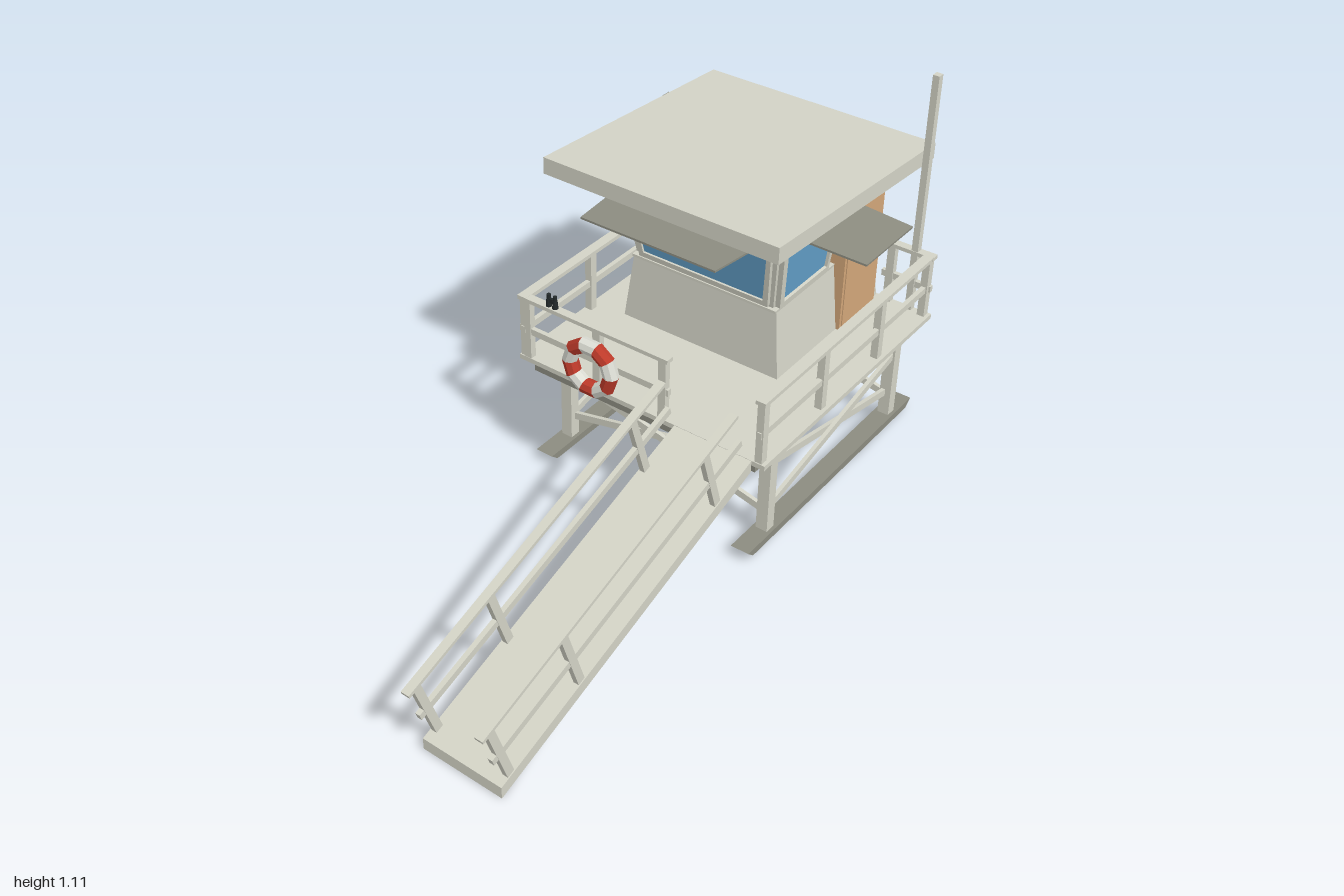
import * as THREE from 'three';

const mat = (name, color) => {
  const m = new THREE.MeshStandardMaterial({ color });
  m.name = name;
  return m;
};

export function createModel() {
  const model = new THREE.Group();
  model.name = 'beachTower';
  const paint = mat('palePaint', 0xd3d3c6);
  const dark = mat('darkTimber', 0x8c8c80);
  const glass = mat('blueGlass', 0x65a2cc);
  const wood = mat('tanDoor', 0xd2a679);
  const red = mat('ringRed', 0xbe3a2a);
  const white = mat('ringWhite', 0xdedfd6);
  const black = mat('black', 0x23292a);

  const add = (name, geo, material, parent = model) => {
    const mesh = new THREE.Mesh(geo, material);
    mesh.name = name;
    parent.add(mesh);
    return mesh;
  };
  const group = (name) => {
    const g = new THREE.Group();
    g.name = name;
    model.add(g);
    return g;
  };
  // Box given by its minimum and maximum corners
  const box = (name, x0, x1, y0, y1, z0, z1, m, parent) => {
    const mesh = add(name, new THREE.BoxGeometry(x1 - x0, y1 - y0, z1 - z0), m, parent);
    mesh.position.set((x0 + x1) / 2, (y0 + y1) / 2, (z0 + z1) / 2);
    return mesh;
  };
  // Straight timber between two points, w wide and h deep
  const beam = (name, p, q, w, h, parent, m = paint) => {
    const a = new THREE.Vector3(...p), b = new THREE.Vector3(...q);
    const mesh = add(name, new THREE.BoxGeometry(w, h, a.distanceTo(b)), m, parent);
    mesh.position.copy(a).add(b).multiplyScalar(0.5);
    mesh.lookAt(b);
    return mesh;
  };
  // Solid between an inner quad a and an outer quad b, both counter-clockwise from outside
  const hexa = (a, b) => {
    const quads = [b, [a[3], a[2], a[1], a[0]]];
    for (let i = 0; i < 4; i++) {
      const j = (i + 1) % 4;
      quads.push([a[i], a[j], b[j], b[i]]);
    }
    const pos = quads.flatMap(([p, q, r, s]) => [p, q, r, p, r, s].flat());
    const geo = new THREE.BufferGeometry();
    geo.setAttribute('position', new THREE.Float32BufferAttribute(pos, 3));
    geo.computeVertexNormals();
    return geo;
  };
  // Quad thickened along its normal
  const plate = (quad, t0, t1) => {
    const [p, q, r] = quad.map((c) => new THREE.Vector3(...c));
    const n = q.clone().sub(p).cross(r.clone().sub(p)).normalize();
    const shift = (t) => quad.map((c) => new THREE.Vector3(...c).addScaledVector(n, t).toArray());
    return hexa(shift(t0), shift(t1));
  };
  const mirror = (quad) => quad.map(([x, y, z]) => [-x, y, z]).reverse();
  // Horizontal rectangle with separate heights at front and back
  const rect = (x, zf, zb, yf, yb = yf) => [[-x, yf, zf], [x, yf, zf], [x, yb, zb], [-x, yb, zb]];

  // Skids, legs and cross braces
  const base = group('base');
  const legX = [-0.298, 0.384], legZ = [-0.187, -0.845];
  for (const x of legX) {
    const skid = (zf, zb, y) => rect(0.0285, zf, zb, y).map((p) => [p[0] + x, p[1], p[2]]);
    add('skid', hexa(skid(-0.09, -0.92, 0.013), skid(-0.065, -0.945, 0.035)), dark, base);
    for (const z of legZ) box('leg', x - 0.018, x + 0.018, 0.035, 0.34, z - 0.017, z + 0.017, paint, base);
    beam('sideBrace', [x - 0.006, 0.25, legZ[0]], [x - 0.006, 0.108, legZ[1]], 0.012, 0.022, base);
    beam('sideBrace', [x + 0.006, 0.108, legZ[0]], [x + 0.006, 0.25, legZ[1]], 0.012, 0.022, base);
  }
  for (const z of legZ) {
    beam('crossBrace', [legX[0], 0.255, z + 0.006], [legX[1], 0.1, z + 0.006], 0.012, 0.022, base);
    beam('crossBrace', [legX[0], 0.1, z - 0.006], [legX[1], 0.255, z - 0.006], 0.012, 0.022, base);
  }

  // Deck on a dark perimeter frame
  const deck = group('deck');
  box('deckBoard', -0.377, 0.444, 0.34, 0.355, -0.945, -0.065, paint, deck);
  for (const [x0, x1] of [[-0.327, -0.25], [0.336, 0.413]]) box('deckFrame', x0, x1, 0.317, 0.34, -0.9, -0.07, dark, deck);
  for (const z of [-0.9, -0.15]) box('deckFrame', -0.25, 0.336, 0.317, 0.34, z, z + 0.08, dark, deck);

  // Cabin: flared base, sill and outward-leaning upper walls
  const cabin = group('cabin');
  add('lowerWalls', hexa(rect(0.263, -0.402, -0.94, 0.355), rect(0.24, -0.415, -0.92, 0.56)), paint, cabin);
  add('sill', hexa(rect(0.24, -0.408, -0.924, 0.56), rect(0.241, -0.408, -0.924, 0.568)), paint, cabin);
  add('upperWalls', hexa(rect(0.225, -0.42, -0.915, 0.56), rect(0.262, -0.37, -0.935, 0.862, 0.824)), paint, cabin);
  const wallX = (y) => 0.225 + (y - 0.56) * 0.125;
  const wallZ = (y) => -0.42 + (y - 0.56) * 0.166;

  // Window: glass plus four frame bars between an outer and an inner quad
  const makeWindow = (name, outer, inner, depth) => {
    const g = group(name);
    add('glass', plate(inner, 0, 0.006), glass, g);
    for (let i = 0; i < 4; i++) {
      const j = (i + 1) % 4;
      add('frameBar', plate([outer[i], outer[j], inner[j], inner[i]], 0, depth), paint, g);
    }
  };
  const frontQuad = (y0, y1, x0, x1) =>
    [[-x0, y0, wallZ(y0)], [x0, y0, wallZ(y0)], [x1, y1, wallZ(y1)], [-x1, y1, wallZ(y1)]];
  const sideQuad = (y0, y1, inset, back) => [
    [wallX(y0), y0, wallZ(y0) - inset], [wallX(y0), y0, back],
    [wallX(y1), y1, back], [wallX(y1), y1, wallZ(y1) - inset]];
  makeWindow('frontWindow', frontQuad(0.575, 0.803, 0.215, 0.24), frontQuad(0.592, 0.787, 0.2, 0.225), 0.012);
  makeWindow('leftWindow', sideQuad(0.568, 0.805, 0.01, -0.678), sideQuad(0.583, 0.792, 0.03, -0.665), 0.015);
  makeWindow('rightWindow', mirror(sideQuad(0.568, 0.805, 0.01, -0.91)), mirror(sideQuad(0.583, 0.792, 0.03, -0.895)), 0.015);

  // Door
  const door = group('door');
  box('doorBlock', 0.2, 0.274, 0.355, 0.807, -0.905, -0.71, wood, door);
  box('doorPanel', 0.27, 0.277, 0.365, 0.795, -0.895, -0.72, wood, door);

  // Roof and awnings
  const roofRect = (yf, yb) => rect(0.375, -0.2, -1, yf, yb).map(([x, y, z]) => [x - 0.011, y, z]);
  add('roof', hexa(roofRect(0.87, 0.818), roofRect(0.92, 0.867)), paint);
  const awnings = group('awnings');
  const sideAwning = (back) => [[0.255, 0.81, -0.415], [0.484, 0.793, -0.455 + 0.02], [0.484, 0.793, back], [0.255, 0.81, back]];
  add('frontAwning', plate([[-0.215, 0.818, -0.143], [0.215, 0.818, -0.143], [0.24, 0.812, -0.385], [-0.24, 0.812, -0.385]], 0, 0.006), dark, awnings);
  add('leftAwning', plate(sideAwning(-0.672), 0, 0.006), dark, awnings);
  add('rightAwning', plate(mirror(sideAwning(-0.91)), 0, 0.006), dark, awnings);

  // Deck railings: cap, middle rail and posts
  const rails = group('deckRailings');
  const railX = (x0, x1, z, posts) => {
    box('railCap', x0, x1, 0.542, 0.554, z - 0.013, z + 0.013, paint, rails);
    box('midRail', x0, x1, 0.434, 0.454, z - 0.007, z + 0.007, paint, rails);
    for (const x of posts) box('railPost', x - 0.012, x + 0.012, 0.355, 0.542, z - 0.01, z + 0.01, paint, rails);
  };
  railX(-0.377, 0.132, -0.076, [-0.348, -0.106, 0.113]);
  railX(0.278, 0.438, -0.936, [0.304]);
  railX(-0.377, -0.255, -0.936, [-0.285]);
  for (const x of [-0.362, 0.422]) {
    box('railCap', x - 0.015, x + 0.015, 0.5425, 0.5545, -0.949, -0.063, paint, rails);
    box('midRail', x - 0.007, x + 0.007, 0.4345, 0.4545, -0.945, -0.065, paint, rails);
    for (const z of [-0.08, -0.37, -0.665, -0.93]) box('railPost', x - 0.011, x + 0.011, 0.355, 0.542, z - 0.012, z + 0.012, paint, rails);
  }
  box('flagPole', 0.367, 0.387, 0.355, 1.105, -0.946, -0.925, paint);

  // Ramp with handrails
  const ramp = group('ramp');
  const slope = (y0, y1) => [[0.158, y0, 0.945], [0.404, y0, 0.945], [0.404, y1, -0.065], [0.158, y1, -0.065]];
  add('rampBoard', hexa(slope(0, 0.318), slope(0.036, 0.354)), paint, ramp);
  for (const x of [0.17, 0.393]) {
    beam('rampHandrail', [x, 0.547, 0.012], [x, 0.237, 0.998], 0.025, 0.01, ramp);
    beam('rampMidRail', [x, 0.44, -0.02], [x, 0.135, 0.963], 0.014, 0.021, ramp);
    for (const z of [0.08, 0.64, 0.905]) {
      const y = 0.33 - z * 0.315;
      beam('rampPost', [x, y, z], [x, y + 0.2, z + 0.063], 0.016, 0.024, ramp);
    }
  }

  // Life ring in ten alternating flat segments
  const ring = group('lifeRing');
  ring.position.set(-0.106, 0.44, -0.042);
  for (let i = 0; i < 10; i++) {
    const geo = new THREE.TorusGeometry(0.07, 0.023, 8, 1, Math.PI / 5).toNonIndexed();
    geo.computeVertexNormals();
    add('ringSegment', geo, i % 2 ? red : white, ring).rotation.z = Math.PI * (0.4 + i / 5);
  }

  // Binoculars standing on the front rail
  const binoculars = group('binoculars');
  binoculars.position.set(-0.264, 0.554, -0.076);
  for (const x of [-0.011, 0.011]) {
    add('barrel', new THREE.CylinderGeometry(0.007, 0.009, 0.024, 10), black, binoculars).position.set(x, 0.012, 0);
    add('eyepiece', new THREE.CylinderGeometry(0.006, 0.006, 0.014, 10), black, binoculars).position.set(x, 0.031, 0);
  }
  box('bridge', -0.008, 0.008, 0.012, 0.026, -0.004, 0.004, black, binoculars);

  return model;
}
